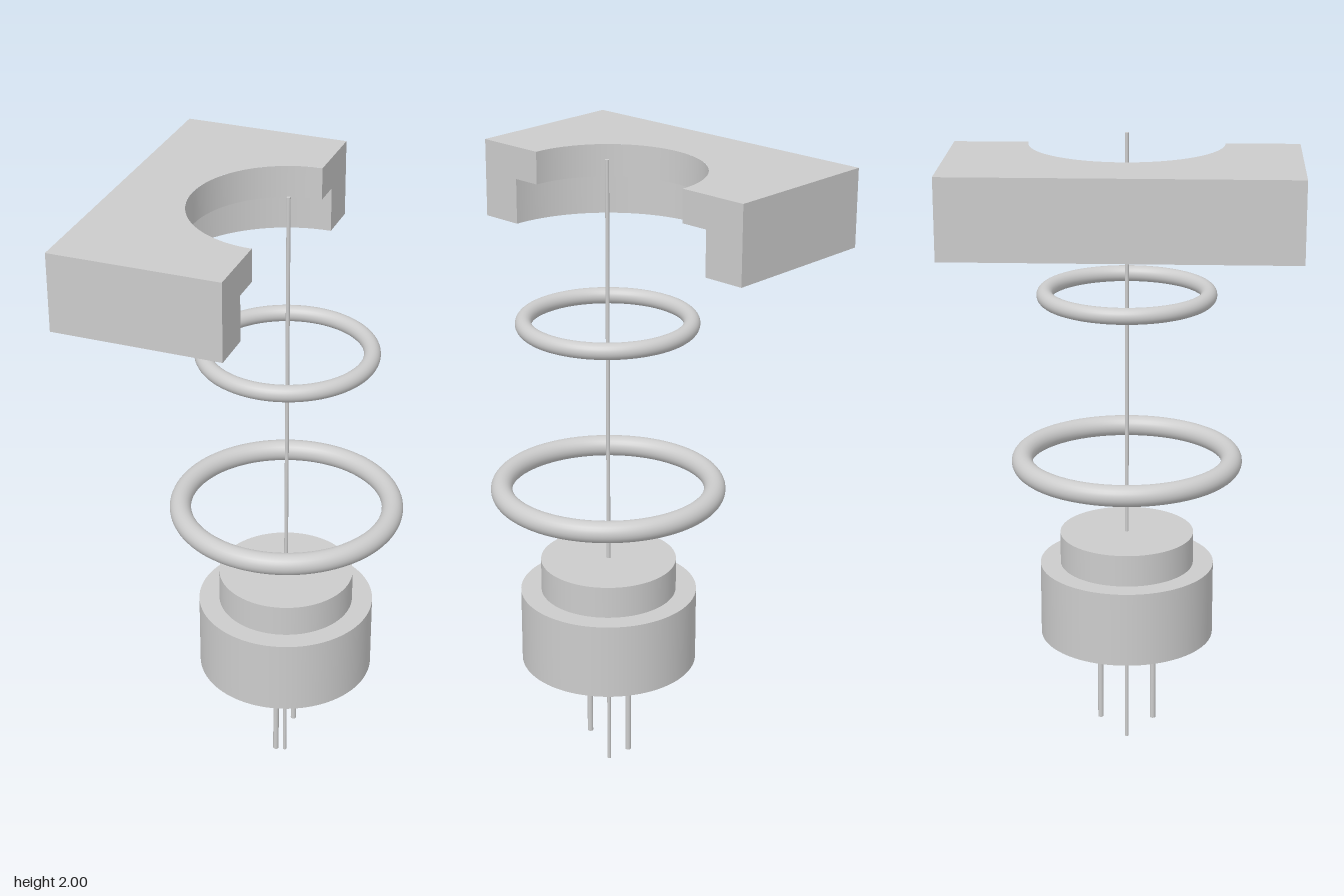
import * as THREE from 'three';
import { mergeGeometries } from 'three/addons/utils/BufferGeometryUtils.js';

const material = new THREE.MeshStandardMaterial({ color: 0xcccccc });
const SEGMENTS = 48; // per half turn

function part(name, geometry, y = 0, z = 0) {
  const mesh = new THREE.Mesh(geometry, material);
  mesh.name = name;
  mesh.position.set(0, y, z);
  return mesh;
}

// Revolve a profile one segment at a time, so its corners stay sharp
function revolve(profile, start = 0, length = Math.PI * 2) {
  const points = profile.map(([r, y]) => new THREE.Vector2(r, y));
  const count = Math.round(SEGMENTS * length / Math.PI);
  const bands = [];
  for (let i = 1; i < points.length; i++) {
    bands.push(new THREE.LatheGeometry([points[i - 1], points[i]], count, start, length));
  }
  return mergeGeometries(bands);
}

// Half block with a stepped half bore, cut open along the axis
function halfBlock() {
  const half = 0.515, bottom = 1.73, step = 1.87, top = 1.97;
  const rUpper = 0.293, rLower = 0.382;
  const height = top - bottom, mid = (top + bottom) / 2;

  const plate = r => {
    const s = new THREE.Shape();
    s.moveTo(0, half);
    s.lineTo(-half, half);
    s.lineTo(-half, -half);
    s.lineTo(0, -half);
    s.lineTo(0, -r);
    s.absarc(0, 0, r, Math.PI * 1.5, Math.PI * 0.5, true);
    s.closePath();
    return new THREE.ShapeGeometry(s, SEGMENTS);
  };
  const faces = [
    plate(rUpper).rotateX(-Math.PI / 2).translate(0, top, 0),
    plate(rLower).rotateX(Math.PI / 2).translate(0, bottom, 0),
    new THREE.PlaneGeometry(half * 2, height).rotateY(-Math.PI / 2).translate(-half, mid, 0),
    new THREE.PlaneGeometry(half, height).translate(-half / 2, mid, half),
    new THREE.PlaneGeometry(half, height).rotateY(Math.PI).translate(-half / 2, mid, -half),
    revolve([[rUpper, top], [rUpper, step], [rLower, step], [rLower, bottom]], Math.PI, Math.PI),
  ];
  // L-shaped cut faces either side of the bore
  for (const side of [-1, 1]) {
    const outline = [[half, bottom], [half, top], [rUpper, top], [rUpper, step], [rLower, step], [rLower, bottom]];
    const s = new THREE.Shape(outline.map(([z, y]) => new THREE.Vector2(side * z, y)));
    faces.push(new THREE.ShapeGeometry(s).rotateY(Math.PI / 2));
  }
  return mergeGeometries(faces);
}

const ring = (radius, tube) => new THREE.TorusGeometry(radius, tube, 24, 96).rotateX(Math.PI / 2);

export function createModel() {
  const group = new THREE.Group();
  group.name = 'explodedSensorAssembly';
  group.position.x = 0.075;

  group.add(part('mountingBlock', halfBlock()));

  // Sealing rings
  group.add(part('upperRing', ring(0.251, 0.025), 1.505));
  group.add(part('lowerRing', ring(0.328, 0.033), 0.97));

  // Stepped round body
  group.add(part('body', revolve([
    [0, 0.385], [0.275, 0.385], [0.275, 0.625], [0.211, 0.625], [0.211, 0.727], [0, 0.727],
  ])));

  // Contact pins below the body
  for (const side of [-1, 1]) {
    group.add(part(side > 0 ? 'frontPin' : 'backPin',
      new THREE.CylinderGeometry(0.009, 0.009, 0.315, 20), 0.2275, side * 0.085));
  }

  // Thin rod along the assembly axis
  group.add(part('axisRod', new THREE.CylinderGeometry(0.006, 0.006, 2, 20), 1));

  const root = new THREE.Group();
  root.add(group);
  return root;
}
